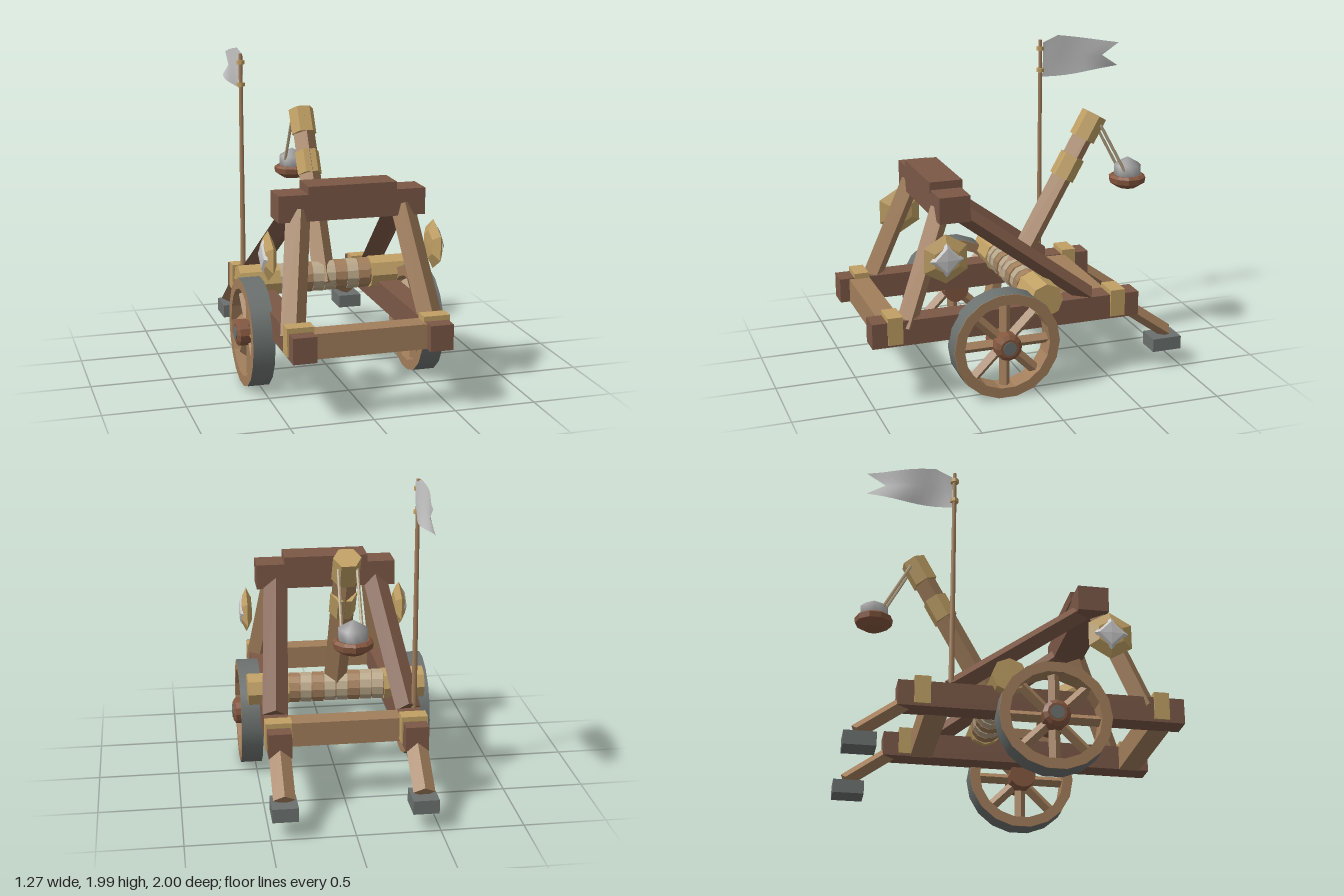
import * as THREE from 'three';

const mat = (name, color) => {
  const m = new THREE.MeshStandardMaterial({ color });
  m.name = name;
  return m;
};

// Facet a geometry so every face has its own normal
const flat = (g) => {
  const f = g.index ? g.toNonIndexed() : g;
  f.computeVertexNormals();
  return f;
};

export function createModel() {
  const root = new THREE.Group();
  root.name = 'catapult';
  const darkWood = mat('dark wood', 0x7b5846);
  const wood = mat('light wood', 0xa27e5b);
  const gold = mat('brass', 0xc0a064);
  const metal = mat('iron', 0x6b716f);
  const rope = mat('rope', 0xb9a789);
  const stone = mat('stone', 0x9f9f9f);
  const russet = mat('russet wood', 0x85573f);
  const cloth = mat('cloth', 0xc9c9c9);
  cloth.side = THREE.DoubleSide;

  const add = (name, geo, m, parent = root) => {
    const mesh = new THREE.Mesh(geo, m);
    mesh.name = name;
    parent.add(mesh);
    return mesh;
  };
  // Box given by its min and max corners
  const box = (name, m, x0, x1, y0, y1, z0, z1) => {
    const b = add(name, new THREE.BoxGeometry(x1 - x0, y1 - y0, z1 - z0), m);
    b.position.set((x0 + x1) / 2, (y0 + y1) / 2, (z0 + z1) / 2);
    return b;
  };
  // Prism running from a to b, with a ridge towards the front when four-sided
  const post = (name, m, a, b, rx, rz = rx, sides = 4, start = 0) => {
    const va = new THREE.Vector3(...a), vb = new THREE.Vector3(...b);
    const d = vb.clone().sub(va);
    const g = new THREE.CylinderGeometry(1, 1, d.length(), sides, 1, false, start).scale(rx, 1, rz);
    const p = add(name, flat(g), m);
    p.position.copy(va).add(vb).multiplyScalar(0.5);
    p.quaternion.setFromUnitVectors(new THREE.Vector3(0, 1, 0), d.normalize());
    return p;
  };
  const lathe = (pts, sides, start = 0) =>
    flat(new THREE.LatheGeometry(pts.map((p) => new THREE.Vector2(...p)), sides, start));

  // Cross beams of the base and the head beam
  box('frontCrossBeam', wood, -0.35, 0.35, 0.385, 0.535, 0.81, 0.94);
  box('rearCrossBeam', wood, -0.35, 0.35, 0.385, 0.535, -0.53, -0.395);
  box('headBeam', darkWood, -0.45, 0.45, 1.1, 1.26, 0.38, 0.57);
  box('headPad', darkWood, -0.27, 0.27, 1.24, 1.308, 0.373, 0.577);

  for (const s of [-1, 1]) {
    const side = s > 0 ? 'left' : 'right';
    const sbox = (n, m, x0, x1, ...r) => box(side + n, m, Math.min(s * x0, s * x1), Math.max(s * x0, s * x1), ...r);

    // Base rail with brass bands
    sbox('Rail', darkWood, 0.34, 0.48, 0.385, 0.54, -0.7, 1);
    sbox('FrontBand', gold, 0.33, 0.49, 0.4, 0.57, 0.815, 0.907);
    sbox('RearBand', gold, 0.33, 0.49, 0.4, 0.57, -0.605, -0.51);

    // Uprights, braces and rear legs
    post(side + 'FrontStrut', wood, [s * 0.425, 0.48, 0.785], [s * 0.32, 1.16, 0.525], 0.075, 0.065);
    post(side + 'Brace', darkWood, [s * 0.41, 0.535, -0.385], [s * 0.325, 1.14, 0.43], 0.078, 0.057);
    post(side + 'RearLeg', wood, [s * 0.412, 0.48, -0.57], [s * 0.412, 0.225, -0.925], 0.066, 0.045);
    sbox('Foot', metal, 0.335, 0.49, 0.12, 0.205, -1, -0.81);

    // Wheel, built around its own y axis and laid on its side
    const wheel = new THREE.Group();
    wheel.name = side + 'Wheel';
    wheel.position.set(s * 0.532, 0.34, 0.2);
    wheel.rotation.z = -s * Math.PI / 2;
    root.add(wheel);
    const h = 0.065;
    add('rim', lathe([[0.27, -h], [0.333, -h], [0.333, h], [0.27, h], [0.27, -h]], 18), wood, wheel);
    add('tyre', new THREE.CylinderGeometry(0.336, 0.336, 2 * h + 0.004, 18, 1, true), metal, wheel);
    add('hub', lathe([[0, -0.11], [0.083, -0.11], [0.083, 0.085], [0.058, 0.1], [0, 0.1]], 12), russet, wheel);
    add('hubCap', flat(new THREE.CylinderGeometry(0.042, 0.042, 0.02, 12)), metal, wheel).position.y = 0.095;
    for (let i = 0; i < 8; i++) {
      const g = new THREE.CylinderGeometry(0.034, 0.034, 0.23, 4);
      g.translate(0, 0.175, 0).rotateZ(Math.PI / 2).rotateY(i * Math.PI / 4);
      add('spoke', flat(g), wood, wheel);
    }

    // Shield with a pale boss
    const shield = new THREE.Group();
    shield.name = side + 'Shield';
    shield.position.set(s * 0.51, 0.908, 0.555);
    shield.rotation.z = -s * Math.PI / 2;
    root.add(shield);
    add('shieldBody', lathe([[0, -0.035], [0.085, -0.032], [0.152, 0], [0.085, 0.032], [0, 0.035]], 6, Math.PI / 2), gold, shield);
    add('shieldBoss', lathe([[0, 0.02], [0.104, 0.026], [0.075, 0.043], [0, 0.048]], 4), cloth, shield);

    // Winch end and sling rope
    post(side + 'WinchEnd', gold, [s * 0.3, 0.585, -0.063], [s * 0.555, 0.585, -0.063], 0.105, 0.105, 8);
    post(side + 'SlingRope', rope, [s * 0.055, 1.51, -0.605], [s * 0.06, 1.18, -0.785], 0.01, 0.01, 6);
  }

  // Winch drum wrapped in coils
  post('winchDrum', wood, [-0.31, 0.585, -0.063], [0.31, 0.585, -0.063], 0.085, 0.085, 12);
  [rope, rope, wood, rope, rope, wood, rope, wood].forEach((m, i) => {
    const x = -0.302 + i * 0.0755;
    post('coil', m, [x, 0.585, -0.067], [x + 0.069, 0.585, -0.059], 0.096, 0.096, 12);
  });

  // Throwing arm with brass collars
  const along = (y) => [0, y, -0.045 - (y - 0.6) * 0.556];
  post('throwingArm', wood, along(0.54), along(1.53), 0.072);
  post('armCollar', gold, along(1.18), along(1.314), 0.08, 0.08, 6, Math.PI / 2);
  post('armCap', gold, along(1.423), along(1.571), 0.083, 0.083, 6, Math.PI / 2);

  // Sling bowl and its stone
  const bowl = add('bowl', lathe([[0, 1.068], [0.06, 1.075], [0.115, 1.11], [0.12, 1.145], [0.1, 1.16], [0, 1.15]], 10), russet);
  bowl.position.z = -0.82;
  add('ball', new THREE.SphereGeometry(0.1, 9, 3), stone).position.set(0, 1.175, -0.82);

  // Flagpole and rings
  const pole = add('flagpole', new THREE.CylinderGeometry(0.012, 0.017, 1.46, 8), wood);
  pole.position.set(-0.445, 1.245, -0.388);
  for (const y of [1.78, 1.92]) {
    add('poleRing', flat(new THREE.CylinderGeometry(0.026, 0.026, 0.024, 8)), gold).position.set(-0.445, y, -0.388);
  }

  // Swallow-tailed flag with a slight ripple
  const flag = new THREE.PlaneGeometry(1, 1, 10, 2);
  const p = flag.attributes.position;
  for (let i = 0; i < p.count; i++) {
    const u = p.getX(i) + 0.5, v = p.getY(i) + 0.5;
    const top = u < 0.2 ? 1.96 + u * 0.2 : 2 - (u - 0.2) * 0.0875;
    const bottom = 1.735 + 0.04 * u * u;
    const reach = Math.abs(v - 0.5) < 0.1 ? 0.415 : 0.53;
    p.setXYZ(i, -0.44 + 0.015 * Math.sin(u * 6 + v * 2), bottom + (top - bottom) * v, -0.4 - u * reach);
  }
  flag.computeVertexNormals();
  add('flag', flag, cloth);

  return root;
}
